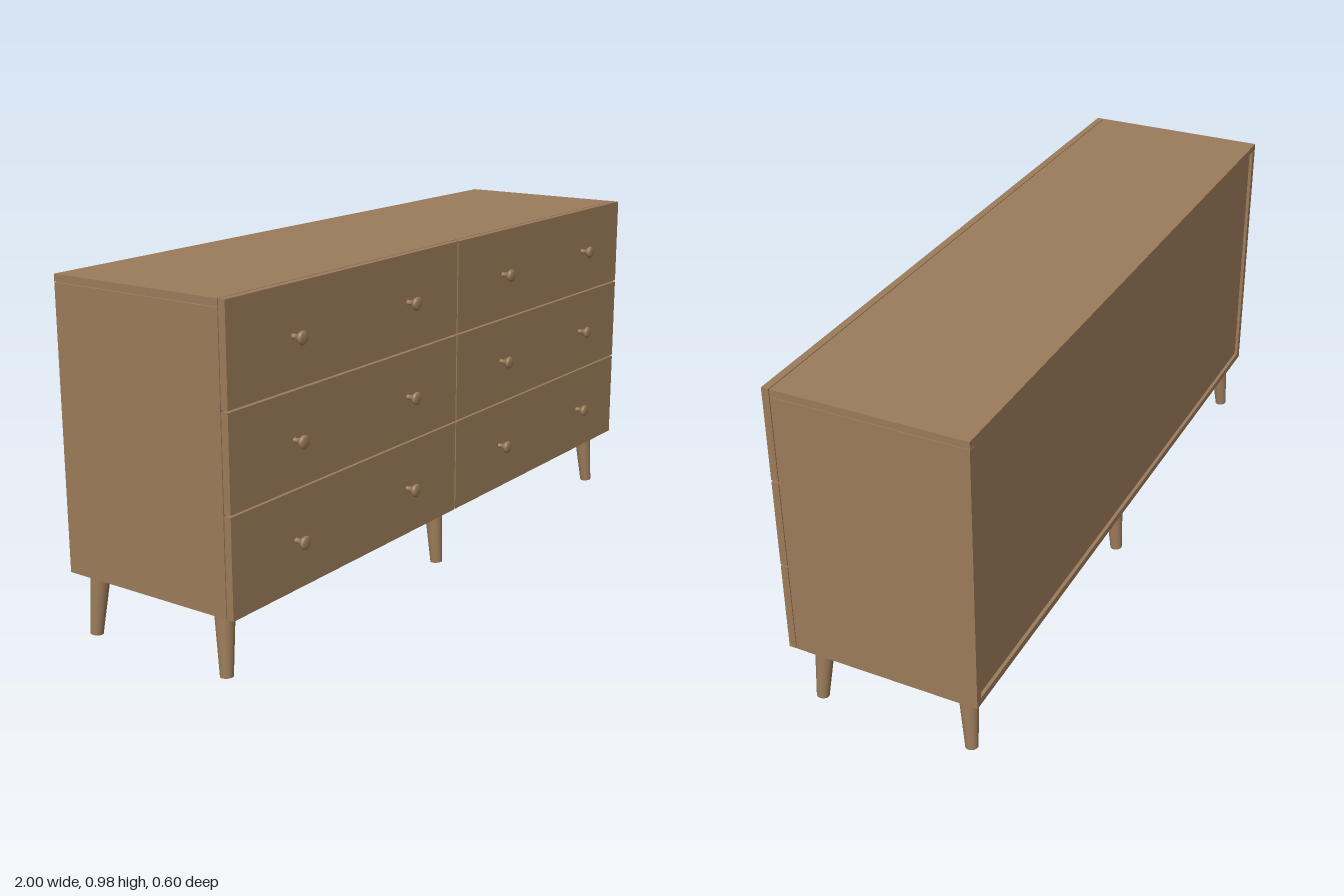
import * as THREE from 'three';

export function createModel() {
  const model = new THREE.Group();
  model.name = 'dresser';
  const wood = new THREE.MeshStandardMaterial({ color: 0x9b7b5a });
  wood.name = 'walnut wood';

  const add = (name, geometry, parent = model) => {
    const mesh = new THREE.Mesh(geometry, wood);
    mesh.name = name;
    parent.add(mesh);
    return mesh;
  };
  // Board given by its lower and upper limits on each axis
  const board = (name, [x0, x1], [y0, y1], [z0, z1], parent) => {
    const mesh = add(name, new THREE.BoxGeometry(x1 - x0, y1 - y0, z1 - z0), parent);
    mesh.position.set((x0 + x1) / 2, (y0 + y1) / 2, (z0 + z1) / 2);
    return mesh;
  };

  // Carcass: top over two sides, with bottom, divider and inset back
  const base = 0.18, top = 0.977, t = 0.02, half = 0.999;
  const depth = [-0.298, 0.24];
  const carcass = new THREE.Group();
  carcass.name = 'carcass';
  model.add(carcass);
  board('topPanel', [-half, half], [top - t, top], depth, carcass);
  board('leftSide', [half - t, half], [base, top - t - 0.002], depth, carcass);
  board('rightSide', [-half, t - half], [base, top - t - 0.002], depth, carcass);
  board('bottomPanel', [t - half, half - t], [base, base + t], depth, carcass);
  board('centreDivider', [-t / 2, t / 2], [base + t, top - t], [-0.28, 0.24], carcass);
  board('backPanel', [t - half, half - t], [base + t, top - t], [-0.288, -0.28], carcass);

  // Knob profile: thin stem flaring into a shallow domed head
  const knobProfile = [
    [0.0075, 0], [0.0065, 0.006], [0.007, 0.012], [0.01, 0.017], [0.0165, 0.025],
    [0.0185, 0.029], [0.0183, 0.032], [0.0155, 0.035], [0.009, 0.0365], [0, 0.037],
  ].map(([r, y]) => new THREE.Vector2(r, y));
  const knobGeometry = new THREE.LatheGeometry(knobProfile, 24).rotateX(Math.PI / 2);

  // Six drawers, each with two knobs
  const face = 0.263;
  const rows = [[base, 0.447], [0.452, 0.706], [0.711, top]];
  for (const [y0, y1] of rows) {
    for (const side of [-1, 1]) {
      const drawer = new THREE.Group();
      drawer.name = 'drawer';
      model.add(drawer);
      const inner = side * 0.0025, outer = side * half;
      board('drawerFront', [Math.min(inner, outer), Math.max(inner, outer)],
        [y0, y1], [0.2425, face], drawer);
      // Box behind the front
      board('drawerBox', [side * 0.495 - 0.47, side * 0.495 + 0.47],
        [y0 + 0.03, y1 - 0.03], [-0.26, 0.2425], drawer);
      for (const x of [0.25, 0.75]) {
        const knob = add('knob', knobGeometry, drawer);
        knob.position.set(side * x, (y0 + y1) / 2, face);
      }
    }
  }

  // Tapered legs splayed outwards; the middle pair leans only in z
  const up = new THREE.Vector3(0, 1, 0);
  for (const x of [-1, 0, 1]) {
    for (const z of [-1, 1]) {
      const midZ = -0.028;
      const foot = new THREE.Vector3(x * 0.958, 0.002, midZ + z * 0.228);
      const head = new THREE.Vector3(x * 0.944, base + 0.003, midZ + z * 0.215);
      const axis = head.clone().sub(foot);
      const leg = add('leg', new THREE.CylinderGeometry(0.0275, 0.0175, axis.length(), 28));
      leg.position.copy(foot).add(head).multiplyScalar(0.5);
      leg.quaternion.setFromUnitVectors(up, axis.normalize());
    }
  }
  return model;
}
